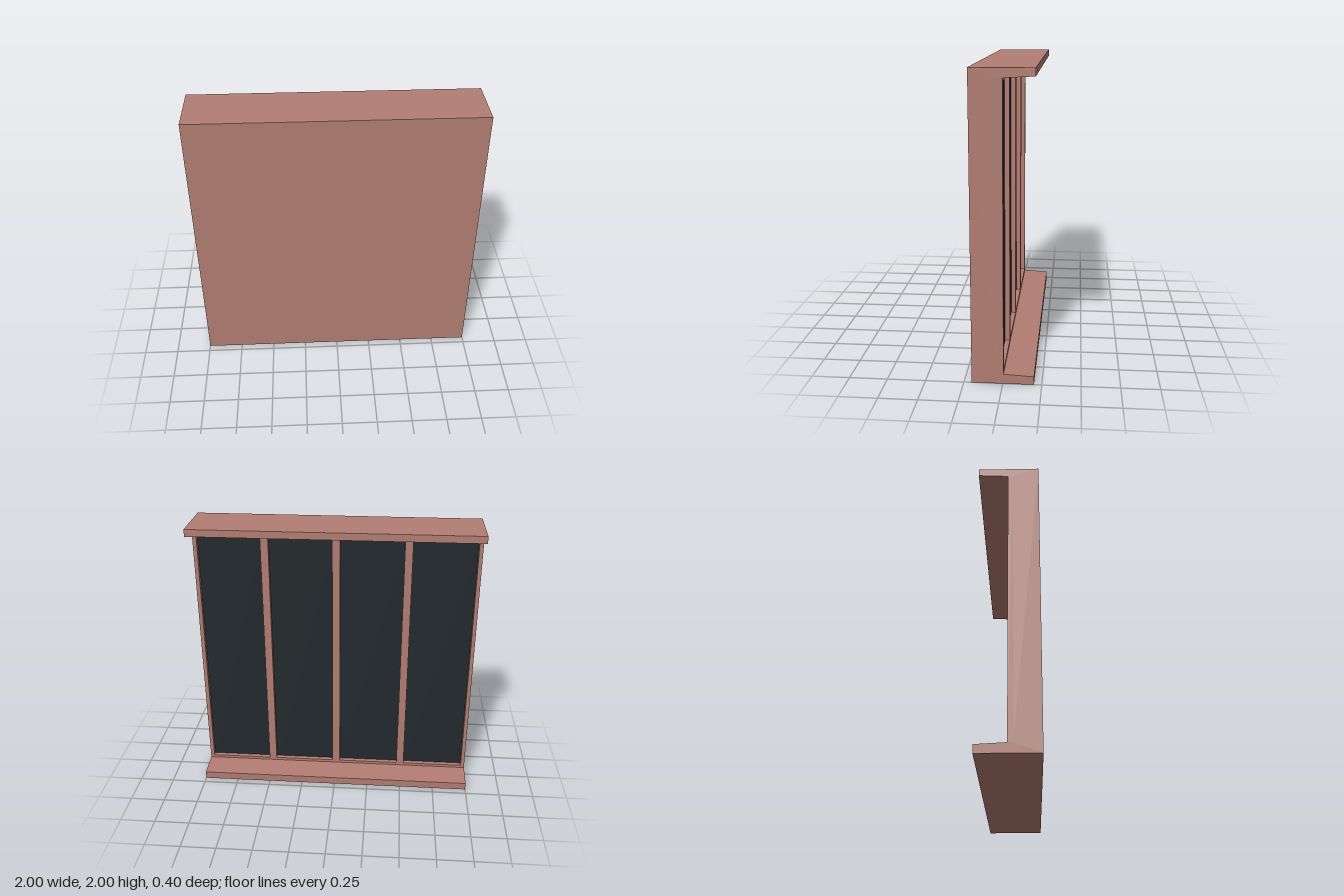
import * as THREE from 'three';

const BACK = -0.005;   // rear plane of the lattice
const RECESS = 0.03;   // plane of the panes
const LOW = 0.065, HIGH = 1.94;  // lattice bottom and top
const BAYS = 4, PITCH = 0.5, PANE_W = 0.445, PANE_LOW = 0.085, PANE_HIGH = 1.92;

const polygon = (points, Type = THREE.Shape) =>
  new Type(points.map(([x, y]) => new THREE.Vector2(x, y)));

const rectangle = (x0, x1, y0, y1, Type) =>
  polygon([[x0, y0], [x1, y0], [x1, y1], [x0, y1]], Type);

export function createModel() {
  const group = new THREE.Group();
  const clay = new THREE.MeshStandardMaterial({ color: 0xb27d72 });
  const dark = new THREE.MeshStandardMaterial({ color: 0x22292d });

  const add = (name, geometry, material) => {
    const mesh = new THREE.Mesh(geometry, material);
    mesh.name = name;
    group.add(mesh);
    return mesh;
  };

  // Wall with sill and head ledges: side profile (-z, y) swept along x
  const profile = polygon([
    [-0.2, 0], [0.2, 0], [0.2, 0.055], [-BACK, LOW], [-RECESS, LOW],
    [-RECESS, HIGH], [-BACK, HIGH], [0.2, 1.95], [0.2, 2], [-0.2, 2],
  ]);
  const wall = new THREE.ExtrudeGeometry(profile, { depth: 2, bevelEnabled: false });
  wall.rotateY(Math.PI / 2).translate(-1, 0, 0);
  add('wallWithLedges', wall, clay);

  // Window lattice with one opening per bay
  const lattice = rectangle(-1, 1, LOW, HIGH);
  for (let i = 0; i < BAYS; i++) {
    const x = (i - (BAYS - 1) / 2) * PITCH;
    lattice.holes.push(rectangle(x - PANE_W / 2, x + PANE_W / 2, PANE_LOW, PANE_HIGH, THREE.Path));

    // Dark pane at the bottom of the recess, facing the back
    const pane = add('pane' + (i + 1), new THREE.PlaneGeometry(PANE_W, PANE_HIGH - PANE_LOW), dark);
    pane.rotation.y = Math.PI;
    pane.position.set(x, (PANE_LOW + PANE_HIGH) / 2, RECESS - 0.002);
  }
  const frame = new THREE.ExtrudeGeometry(lattice, { depth: RECESS - BACK, bevelEnabled: false });
  frame.translate(0, 0, BACK);
  add('windowFrame', frame, clay);

  return group;
}
